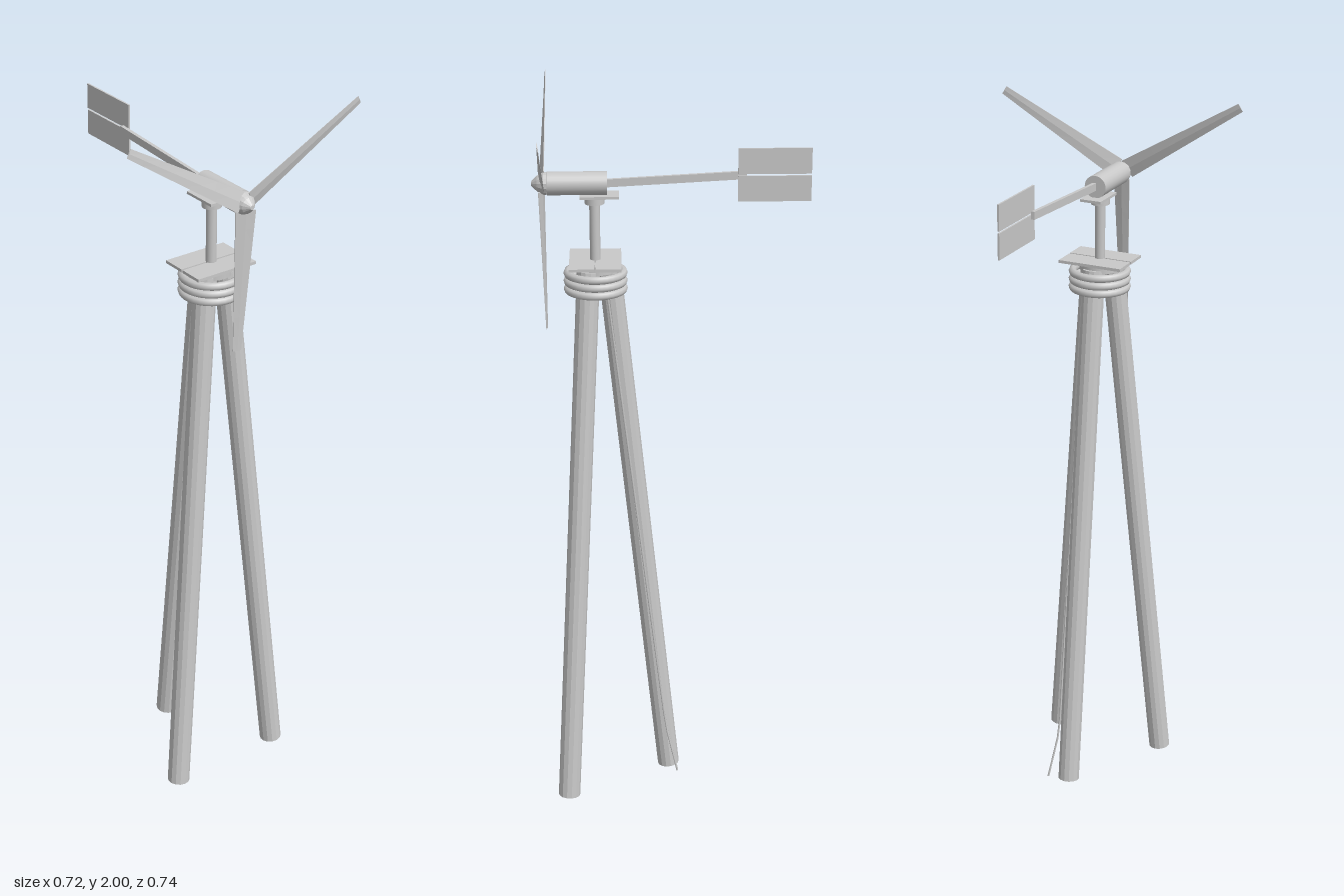
import * as THREE from 'three';

const CX = -0.007, CZ = 0.203, HUB_Y = 1.776;

export function createModel() {
  const model = new THREE.Group();
  model.name = 'windTurbine';
  const grey = new THREE.MeshStandardMaterial({ color: 0xc8c8c8 });
  grey.name = 'grey metal';
  const flat = (g) => {
    const n = g.index ? g.toNonIndexed() : g;
    n.computeVertexNormals();
    return n;
  };

  const add = (name, geometry, x = 0, y = 0, z = 0, parent = model) => {
    const mesh = new THREE.Mesh(geometry, grey);
    mesh.name = name;
    mesh.position.set(x, y, z);
    parent.add(mesh);
    return mesh;
  };
  const box = (name, w, h, d, x, y, z) => add(name, new THREE.BoxGeometry(w, h, d), x, y, z);
  // Straight member laid between two points
  const between = (name, geometryOf, a, b) => {
    const dir = b.clone().sub(a);
    const mesh = add(name, geometryOf(dir.length()));
    mesh.position.copy(a).add(b).multiplyScalar(0.5);
    mesh.quaternion.setFromUnitVectors(new THREE.Vector3(0, 1, 0), dir.normalize());
    return mesh;
  };

  // Tripod legs: one at the back, two at the front
  for (let i = 0; i < 3; i++) {
    const a = -Math.PI / 2 + (i * Math.PI * 2) / 3;
    const at = (r, y) => new THREE.Vector3(CX + r * Math.cos(a), y, CZ + r * Math.sin(a));
    between('leg', (l) => flat(new THREE.CylinderGeometry(0.031, 0.031, l, 14)), at(0.194, 0.003), at(0.037, 1.545));
  }

  // Cable down the side of the back leg, kicked out at the foot
  const cable = new THREE.CurvePath();
  const route = [[0.028, 1.5, 0.174], [0.028, 0.15, 0.018], [0.048, 0.006, -0.016]]
    .map((p) => new THREE.Vector3(...p));
  for (let i = 0; i < 2; i++) cable.add(new THREE.LineCurve3(route[i], route[i + 1]));
  add('cable', new THREE.TubeGeometry(cable, 24, 0.003, 6));

  // Binding hoops round the top of the legs
  for (const y of [1.487, 1.509, 1.531]) {
    add('bindingHoop', new THREE.TorusGeometry(0.075, 0.011, 8, 32), CX, y, CZ).rotation.x = Math.PI / 2;
  }

  // Clamp and split base plate
  add('clamp', new THREE.CylinderGeometry(0.056, 0.056, 0.025, 24), CX, 1.55, CZ);
  for (const s of [-1, 1]) box('basePlate', 0.184, 0.008, 0.067, CX, 1.564, CZ + s * 0.036);

  // Mast, bearing collar and nacelle saddle
  add('mast', new THREE.CylinderGeometry(0.014, 0.014, 0.19, 20), CX, 1.645, CZ);
  add('bearingCollar', new THREE.CylinderGeometry(0.026, 0.026, 0.02, 20), CX, 1.731, CZ);
  box('saddle', 0.062, 0.007, 0.103, CX, 1.743, 0.19);

  // Nacelle
  add('nacelle', new THREE.CylinderGeometry(0.031, 0.031, 0.158, 24), CX, HUB_Y, 0.248).rotation.x = Math.PI / 2;

  // Tail boom, rising slightly to the back, with a split vane
  between('tailBoom', (l) => new THREE.BoxGeometry(0.01, l, 0.021),
    new THREE.Vector3(CX + 0.002, 1.776, 0.18), new THREE.Vector3(CX + 0.002, 1.796, -0.198));
  for (const s of [-1, 1]) box('tailVane', 0.005, 0.069, 0.194, 0.004, 1.798 + s * 0.037, -0.272);

  // Rotor: nose cone and three blades
  const rotor = new THREE.Group();
  rotor.name = 'rotor';
  rotor.position.set(CX, HUB_Y, 0);
  model.add(rotor);
  const profile = [[0, 0.325], [0.03, 0.328], [0.03, 0.336], [0.024, 0.348], [0.021, 0.353], [0.006, 0.368], [0, 0.368]]
    .map(([r, y]) => new THREE.Vector2(r, y));
  const hub = add('hub', flat(new THREE.LatheGeometry(profile, 14)), 0, 0, 0, rotor);
  hub.rotation.x = Math.PI / 2;

  for (let i = 0; i < 3; i++) {
    // Box bent into a tapered, twisted blade: straight lower edge, tapering upper edge
    const g = new THREE.BoxGeometry(1, 1, 1, 8, 2, 1);
    const p = g.attributes.position;
    for (let k = 0; k < p.count; k++) {
      const t = p.getX(k) + 0.5, v = p.getY(k) + 0.5, side = p.getZ(k);
      const low = -0.026 + 0.008 * t, high = 0.027 - 0.021 * t;
      const thick = (v > 0.4 && v < 0.6 ? 0.007 : 0.002) * (1 - 0.5 * t);
      p.setXYZ(k, 0.018 + 0.389 * t, low + (high - low) * v, 0.335 + (0.014 - 0.011 * t) * v + side * thick);
    }
    const blade = add('blade', flat(g), 0, 0, 0, rotor);
    blade.rotation.z = THREE.MathUtils.degToRad(28.8 + i * 120);
  }
  return model;
}
